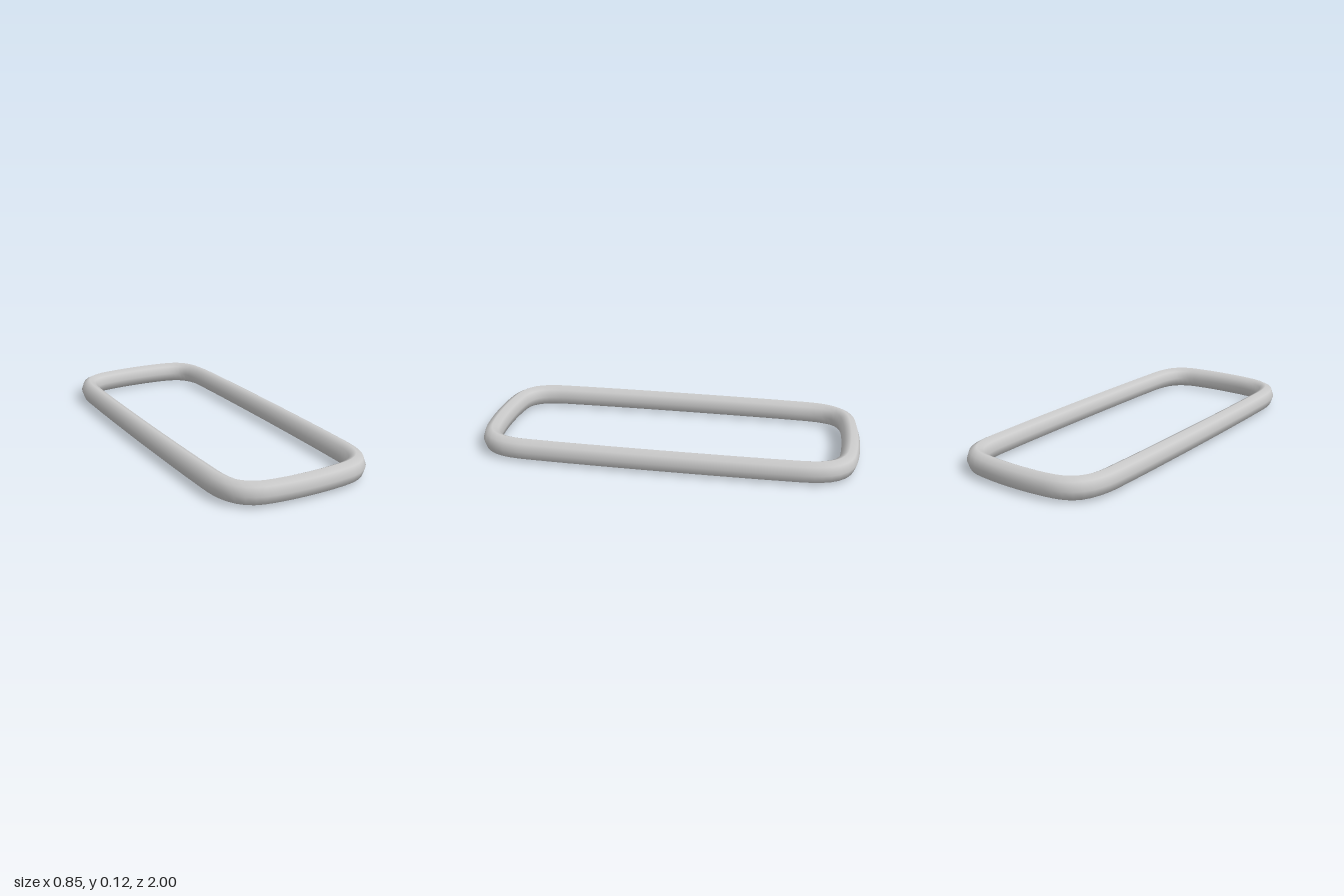
import * as THREE from 'three';

export function createModel() {
  const group = new THREE.Group();
  group.name = 'ringLoop';

  // One quarter of the centre line (x, z): bowed long side, round corner, bowed end
  const quarter = [
    [0.376, 0], [0.374, 0.35], [0.37, 0.6], [0.362, 0.77],
    [0.342, 0.845], [0.307, 0.895], [0.25, 0.928], [0.15, 0.945], [0, 0.952],
  ];
  const back = quarter.slice(0, -1).reverse();
  const half = [...quarter, ...back.map(([x, z]) => [-x, z])];
  const loop = [...half, ...half.slice(1, -1).reverse().map(([x, z]) => [x, -z])];
  const path = new THREE.CatmullRomCurve3(
    loop.map(([x, z]) => new THREE.Vector3(x, 0, z)), true, 'centripetal');

  // Eight-sided bar, a little taller than it is wide
  const geometry = new THREE.TubeGeometry(path, 128, 0.048, 8, true);
  geometry.scale(1, 1.23, 1);
  geometry.translate(0, 0.059, 0);

  const bar = new THREE.Mesh(geometry, new THREE.MeshStandardMaterial({ color: 0xcccccc }));
  bar.name = 'roundedRectangularRing';
  group.add(bar);
  return group;
}
